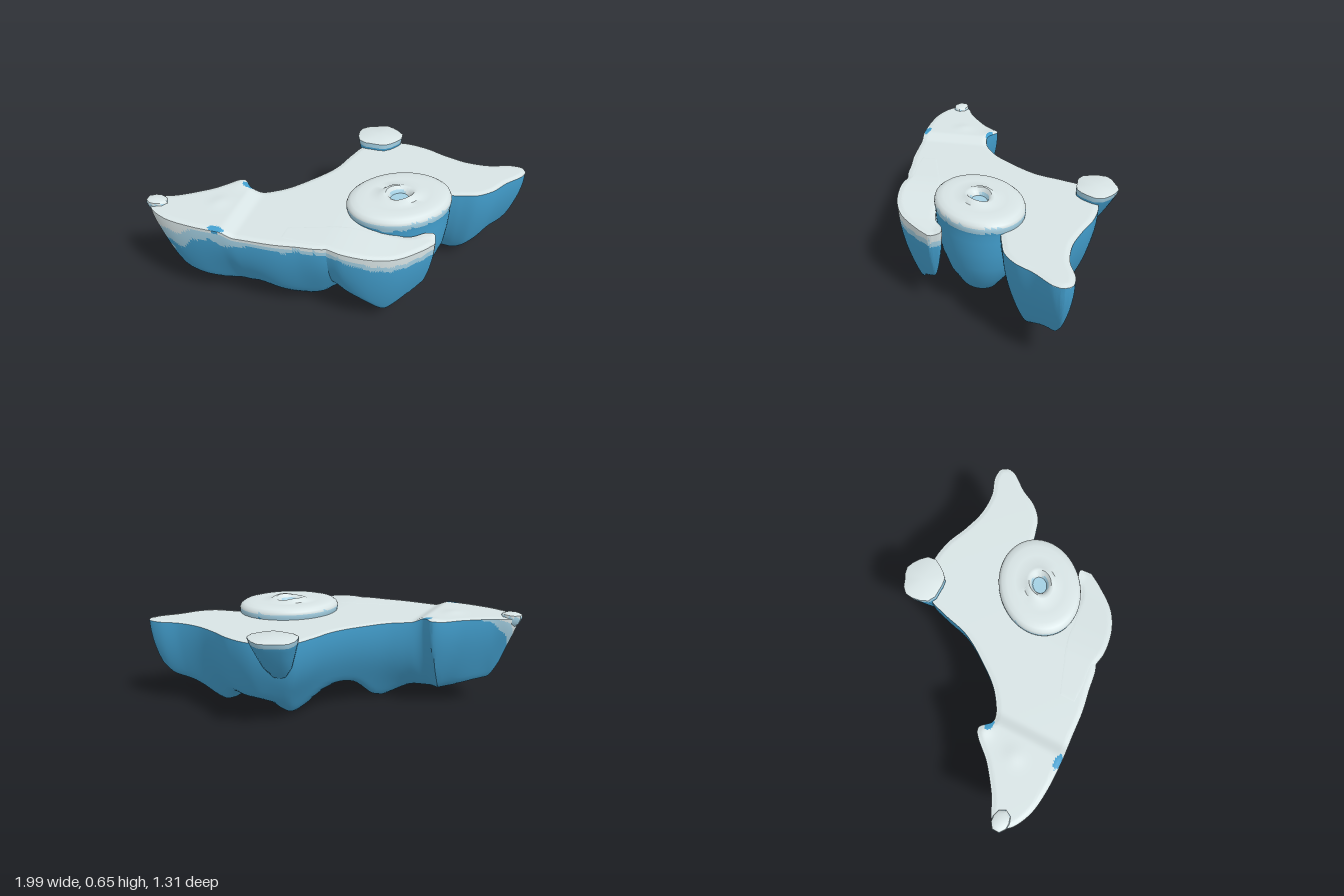
import * as THREE from 'three';
import { toCreasedNormals } from 'three/addons/utils/BufferGeometryUtils.js';

const make = (name, color) => {
  const m = new THREE.MeshStandardMaterial({ color });
  m.name = name;
  return m;
};
const step = THREE.MathUtils.smoothstep;
const bump = (x, z, cx, cz, w) => Math.exp(-((x - cx) ** 2 + (z - cz) ** 2) / (w * w));
const ragged = (x, z) => Math.sin(x * 23 + z * 9) * 0.6 + Math.sin(x * 51 - z * 37) * 0.4;
const RIM = 0.006;

// Add the triangles of a grid of points; flip turns the surface over
function addGrid(tris, rows, flip) {
  for (let i = 0; i < rows.length - 1; i++) {
    for (let j = 0; j < rows[0].length - 1; j++) {
      const a = rows[i][j], b = rows[i][j + 1], c = rows[i + 1][j], d = rows[i + 1][j + 1];
      tris.push(flip ? [a, c, b] : [a, b, c], flip ? [b, c, d] : [b, d, c]);
    }
  }
}

// Sort triangles into colour groups: 0 snow, 1 pale ice, 2 blue ice
function buildMesh(name, tris, pick, materials) {
  const buckets = [[], [], []];
  for (const t of tris) {
    const c = new THREE.Vector3().add(t[0]).add(t[1]).add(t[2]).divideScalar(3);
    const list = buckets[pick(c)];
    for (const p of t) list.push(p.x, p.y, p.z);
  }
  let g = new THREE.BufferGeometry();
  g.setAttribute('position', new THREE.Float32BufferAttribute(buckets.flat(), 3));
  g = toCreasedNormals(g, 0.8);
  let start = 0;
  buckets.forEach((b, i) => {
    if (b.length) g.addGroup(start, b.length / 3, i);
    start += b.length / 3;
  });
  const mesh = new THREE.Mesh(g, materials);
  mesh.name = name;
  return mesh;
}

const curve = (pts) => new THREE.CatmullRomCurve3(
  pts.map(([x, z]) => new THREE.Vector3(x, 0, z)), false, 'centripetal');

function segmentDistance(x, z, a, b) {
  const dx = b.x - a.x, dz = b.z - a.z;
  const t = THREE.MathUtils.clamp(((x - a.x) * dx + (z - a.z) * dz) / (dx * dx + dz * dz || 1), 0, 1);
  return Math.hypot(x - a.x - t * dx, z - a.z - t * dz);
}

// Ice slab between two edge curves: flat top, underside deepening away from the edges
function slab(name, back, front, o, materials) {
  const nv = 44, A = curve(back).getPoints(o.nu), B = curve(front).getPoints(o.nu);
  const outline = [...A, ...B.slice().reverse(), A[0]];
  const top = [], under = [];
  for (let i = 0; i <= o.nu; i++) {
    const rowT = [], rowU = [];
    for (let j = 0; j <= nv; j++) {
      const m = (2 * j) / nv - 1;
      const s = 0.5 + 0.5 * Math.sign(m) * (1 - (1 - Math.abs(m)) ** 2.2);
      const p = A[i].clone().lerp(B[i], s);
      let d = Infinity;
      for (let k = 0; k < outline.length - 1; k++) {
        d = Math.min(d, segmentDistance(p.x, p.z, outline[k], outline[k + 1]));
      }
      if (j === 0 || j === nv) d = 0;
      const y = o.top(p.x, p.z);
      const k = o.gain(p.x, p.z) * (1 + 0.06 * Math.sin(p.x * 13 + p.z * 7));
      rowT.push(new THREE.Vector3(p.x, y - RIM * (1 - step(d, 0, 0.03)), p.z));
      const low = y - RIM - k * Math.sqrt(d);
      const floor = o.floor(p.x, p.z);
      // soft maximum of wall and floor
      const h = Math.max(0.04 - Math.abs(low - floor), 0);
      const yLow = Math.min(Math.max(low, floor) + (h * h) / 0.16, y - RIM);
      rowU.push(new THREE.Vector3(p.x, d === 0 ? y - RIM : yLow, p.z));
    }
    top.push(rowT);
    under.push(rowU);
  }
  const tris = [];
  addGrid(tris, top, false);
  addGrid(tris, under, true);
  return buildMesh(name, tris, (c) => {
    const spot = o.spot(c);
    if (spot) return spot;
    const depth = o.top(c.x, c.z) - RIM - c.y;
    const snow = o.snow(c.x, c.z), r = ragged(c.x, c.z);
    if (depth < 0.002 + snow * (1 + 0.3 * r)) return 0;
    return depth < snow * 1.3 + o.pale(c.x, c.z) * (1 + 0.5 * r) ? 1 : 2;
  }, materials);
}

// Round floe lofted from [scale, y] rings, its tip drifting sideways
function floe(name, cx, cz, radius, rings, drift, pick, materials, n, wave = () => 0) {
  const yTop = rings[0][1], yEnd = rings[rings.length - 1][1];
  const rows = rings.map(([s, y]) => {
    const k = Math.max(0, (yTop - y) / (yTop - yEnd)) ** 1.3;
    return Array.from({ length: n + 1 }, (_, j) => {
      const a = ((j % n) / n) * Math.PI * 2, r = radius(a) * s;
      return new THREE.Vector3(cx + Math.cos(a) * r + drift[0] * k, y + wave(a, s), cz + Math.sin(a) * r + drift[1] * k);
    });
  });
  const tris = [];
  addGrid(tris, rows, false);
  return buildMesh(name, tris, pick, materials);
}

export function createModel() {
  const group = new THREE.Group();
  group.name = 'iceberg';
  const mats = [make('snow', 0xd8e4e5), make('paleIce', 0xa3cfe2), make('blueIce', 0x439fce)];
  // the top dips towards the end of the front arm
  const armDip = (x, z) => 0.05 * step(x, 0.05, 0.65) * step(z, 0.15, 0.3);

  // Main slab, running from the pointed snout to the tail
  const back = [[-0.97, 0.5], [-0.94, 0.455], [-0.85, 0.41], [-0.7, 0.3], [-0.56, 0.17], [-0.48, 0.225],
    [-0.33, 0.15], [-0.2, 0], [-0.1, -0.16], [-0.05, -0.33], [0, -0.45], [0.2, -0.55], [0.36, -0.54],
    [0.5, -0.49], [0.64, -0.455], [0.78, -0.46], [0.9, -0.5], [0.97, -0.495], [0.995, -0.46]];
  const front = [[-0.97, 0.53], [-0.925, 0.58], [-0.82, 0.63], [-0.68, 0.65], [-0.5, 0.65], [-0.35, 0.64],
    [-0.2, 0.63], [-0.08, 0.61], [0.08, 0.58], [0.25, 0.45], [0.38, 0.25], [0.48, 0.05], [0.58, -0.07],
    [0.67, -0.1], [0.76, -0.13], [0.84, -0.2], [0.9, -0.3], [0.98, -0.4], [0.995, -0.44]];
  group.add(slab('mainIceSlab', back, front, {
    nu: 180,
    top: (x, z) => 0.56 + 0.03 * (1 - step(x, -0.5, -0.41)) + 0.008 * bump(x, z, -0.6, 0.41, 0.05)
      + 0.012 * bump(x, z, -0.55, 0.2, 0.05) - armDip(x, z),
    gain: (x, z) => 1.1 + 0.2 * bump(x, z, 0.65, -0.27, 0.28) + 0.1 * bump(x, z, -0.2, 0.35, 0.25)
      + 0.25 * bump(x, z, -0.74, 0.48, 0.16) - 0.45 * (1 - step(x, -0.97, -0.83)),
    floor: (x, z) => 0.18 - 0.18 * bump(x, z, -0.18, 0.32, 0.17) - 0.09 * bump(x, z, -0.5, 0.42, 0.2)
      - 0.17 * bump(x, z, 0.17, -0.18, 0.16) - 0.15 * bump(x, z, 0.6, -0.24, 0.15) - 0.05 * bump(x, z, 0, 0.42, 0.1),
    snow: (x, z) => step(z, 0.42, 0.53) * (0.014 + 0.075 * (1 - step(x, -0.86, -0.6))),
    pale: (x, z) => step(z, 0.35, 0.5) * (0.025 + 0.05 * (1 - step(x, -0.6, -0.3))),
    // bare ice at the neck, and a pale fleck on the cheek
    spot: (c) => {
      if (c.y > 0.565 && (Math.hypot((c.x + 0.51) * 0.6, c.z - 0.215) < 0.022
        || Math.hypot((c.x + 0.52) * 0.45, c.z - 0.632) < 0.02)) return 2;
      return c.z > 0.5 && Math.hypot(c.x + 0.84, c.y - 0.35) < 0.026 ? 1 : 0;
    },
  }, mats));

  // Front arm curling around the round floe, rooted inside the main slab
  group.add(slab('frontArm',
    [[-0.2, 0.46], [-0.03, 0.4], [0.12, 0.35], [0.3, 0.33], [0.45, 0.31], [0.54, 0.25], [0.59, 0.245], [0.605, 0.29]],
    [[-0.2, 0.59], [-0.06, 0.59], [0.07, 0.578], [0.17, 0.592], [0.32, 0.57], [0.44, 0.51], [0.55, 0.39], [0.605, 0.31]], {
      nu: 110,
      top: (x, z) => 0.5605 - armDip(x, z),
      gain: (x) => 1 + 0.35 * step(x, 0, 0.3),
      floor: (x, z) => 0.22 - 0.17 * bump(x, z, 0.39, 0.41, 0.14),
      snow: (x) => 0.014 + 0.026 * step(x, 0.05, 0.3),
      pale: () => 0.022,
      spot: () => 0,
    }, mats));

  // Round floe with a raised ring, a pit and a deep keel
  const oval = (a) => 1 / Math.hypot(Math.cos(a + 0.66) / 0.305, Math.sin(a + 0.66) / 0.236);
  group.add(floe('roundFloe', 0.35, 0.085, oval,
    [[0, 0.6], [0.17, 0.602], [0.21, 0.622], [0.27, 0.638], [0.33, 0.637], [0.41, 0.624], [0.6, 0.626],
      [0.8, 0.625], [0.92, 0.618], [0.98, 0.605], [1, 0.59], [1, 0.575], [0.99, 0.56], [0.98, 0.545],
      [0.97, 0.5], [0.93, 0.42], [0.85, 0.32], [0.69, 0.22], [0.44, 0.13], [0.16, 0.075], [0, 0.06]], [0.05, 0],
    (c) => {
      if (Math.hypot(c.x - 0.35, c.z - 0.085) < 0.053 && c.y > 0.5) return 1;
      const e = 0.012 * ragged(c.x, c.z);
      return c.y > 0.592 + e * 0.4 ? 0 : c.y > 0.556 + e ? 1 : 2;
    }, mats, 60,
    (a, s) => (s > 0.25 && s < 0.4 ? 0.006 * Math.sin(a * 2 + 0.8) : 0)));

  // Small berg behind
  group.add(floe('smallBerg', 0.07, -0.53, (a) => 0.128 + 0.013 * Math.cos(2 * a + 0.6) + 0.006 * Math.cos(5 * a + 1),
    [[0, 0.606], [0.9, 0.606], [1, 0.601], [0.99, 0.587], [0.97, 0.573], [0.92, 0.55], [0.78, 0.49],
      [0.58, 0.41], [0.3, 0.35], [0, 0.33]],
    [0.02, 0.09], (c) => (c.y > 0.598 ? 0 : c.y > 0.575 ? 1 : 2), mats, 18));

  // Knob on the snout
  group.add(floe('snoutKnob', -0.936, 0.507, (a) => 0.056 + 0.008 * Math.cos(2 * a),
    [[0, 0.612], [0.65, 0.611], [0.92, 0.604], [1, 0.585], [0.95, 0.555], [0.65, 0.53], [0, 0.52]],
    [0.02, 0], (c) => (c.y > 0.596 ? 0 : 1), mats, 9));

  return group;
}
